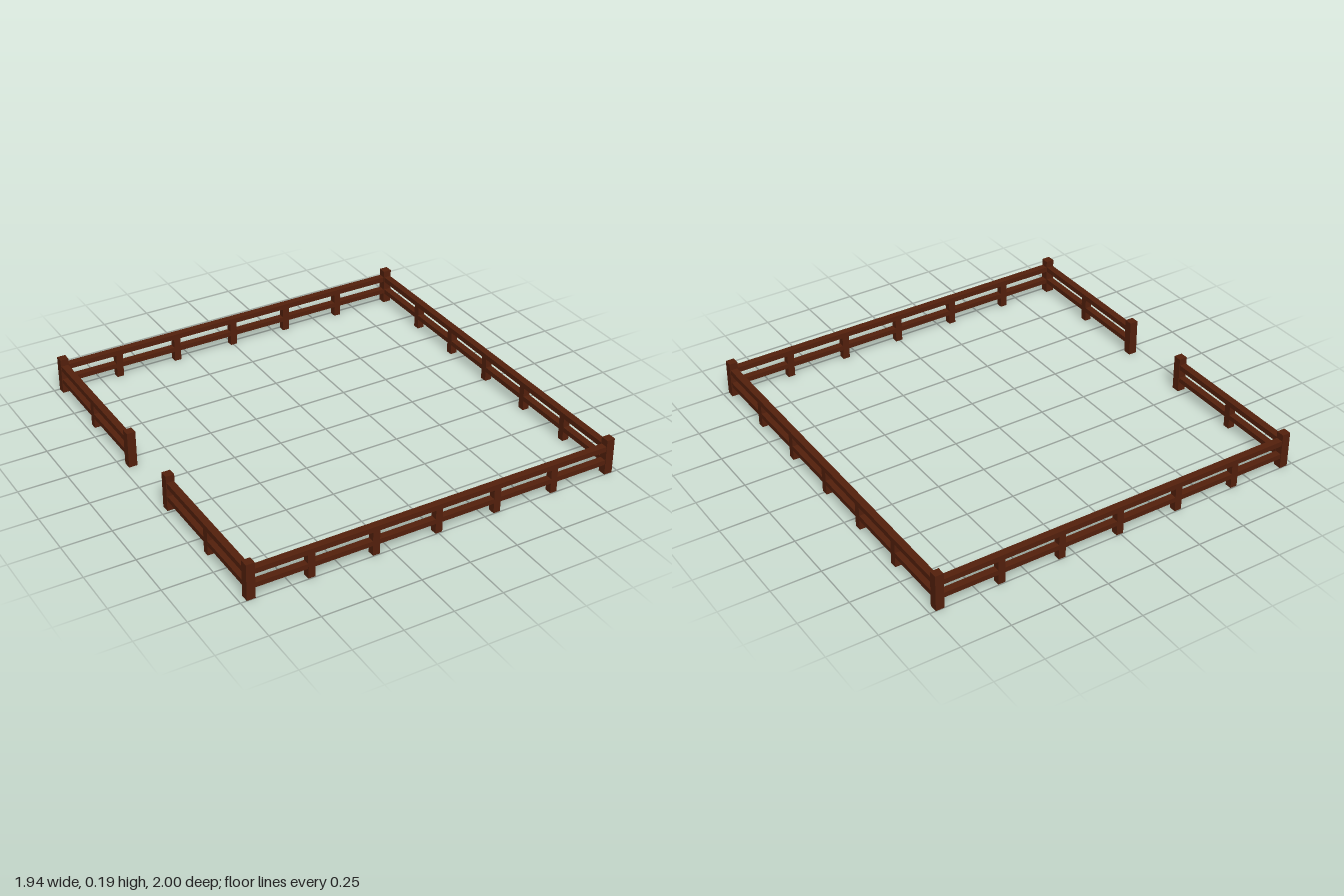
import * as THREE from 'three';

export function createModel() {
  const group = new THREE.Group();
  group.name = 'paddockFence';
  const wood = new THREE.MeshStandardMaterial({ color: 0x54200c });
  wood.name = 'dark brown wood';

  const X = 0.948, Z = 0.979;          // fence centre lines
  const GATE_FRONT = 0.215, GATE_BACK = -0.196;

  // Box standing on height y0 and reaching y1
  function box(name, parent, x, z, y0, y1, w, d) {
    const mesh = new THREE.Mesh(new THREE.BoxGeometry(w, y1 - y0, d), wood);
    mesh.name = name;
    mesh.position.set(x, (y0 + y1) / 2, z);
    parent.add(mesh);
  }

  // One straight run: two rails and short support posts
  function run(name, alongX, fixed, from, to, supports) {
    const side = new THREE.Group();
    side.name = name;
    const place = (part, t, y0, y1, length, depth) => alongX
      ? box(part, side, t, fixed, y0, y1, length, depth)
      : box(part, side, fixed, t, y0, y1, depth, length);
    const mid = (from + to) / 2, length = Math.abs(to - from);
    place('lowerRail', mid, 0.053, 0.078, length, 0.035);
    place('upperRail', mid, 0.125, 0.152, length, 0.036);
    for (const t of supports) place('supportPost', t, 0, 0.13, 0.036, 0.0355);
    group.add(side);
  }

  const spacing = [-0.65, -0.324, 0.003, 0.317, 0.634];
  run('frontFence', true, Z, -X, X, spacing);
  run('backFence', true, -Z, -X, X, spacing);
  run('leftFence', false, X, -Z, Z, spacing.map((t) => -t));
  run('rightFrontFence', false, -X, GATE_FRONT, Z, [0.612]);
  run('rightBackFence', false, -X, -Z, GATE_BACK, [-0.594]);

  // Tall posts at the corners and either side of the opening
  for (const x of [-X, X])
    for (const z of [-Z, Z]) box('cornerPost', group, x, z, 0, 0.187, 0.043, 0.042);
  for (const z of [GATE_FRONT, GATE_BACK])
    box('gatePost', group, -X, z, 0, 0.187, 0.043, 0.043);

  return group;
}
